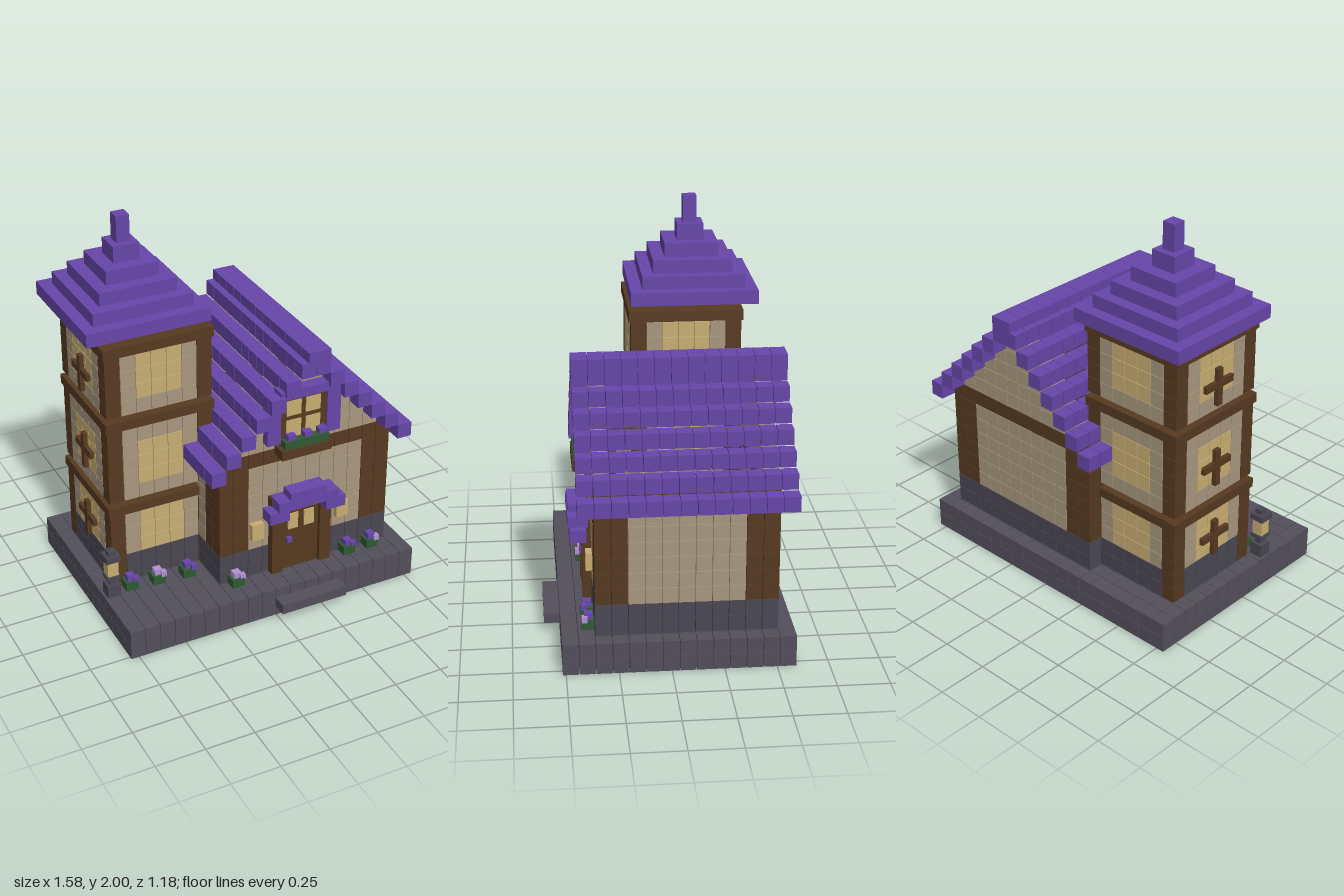
import * as THREE from 'three';
import { mergeGeometries } from 'three/addons/utils/BufferGeometryUtils.js';

const U = 0.0793;              // block pitch
const X0 = -10 * U, Z0 = -0.593; // grid corner
const COLORS = {
  stone: 0x534f5b, darkStone: 0x4a4753, wood: 0x563a20, plaster: 0xa8977f,
  litGlass: 0xc8ae72, purple: 0x6746a9, lilac: 0xb190d2, leaf: 0x2f5a33,
};

export function createModel() {
  const model = new THREE.Group();
  const mats = {};
  for (const [name, color] of Object.entries(COLORS)) {
    mats[name] = new THREE.MeshStandardMaterial({ color });
    mats[name].name = name;
  }

  // Block grid: one entry per cell, later parts replace earlier ones
  const cells = new Map();
  const put = (part, mat, i, j, k) => cells.set(`${i},${j},${k}`, { part, mat, i, j, k });

  // Plain box given by its limits
  const box = (name, mat, x0, x1, y0, y1, z0, z1, parent = model) => {
    const m = new THREE.Mesh(new THREE.BoxGeometry(x1 - x0, y1 - y0, z1 - z0), mats[mat]);
    m.position.set((x0 + x1) / 2, (y0 + y1) / 2, (z0 + z1) / 2);
    m.name = name;
    parent.add(m);
    return m;
  };
  const group = (name) => {
    const g = new THREE.Group();
    g.name = name;
    model.add(g);
    return g;
  };

  // Base: ring below, full floor above
  for (let i = 0; i < 20; i++) for (let k = 0; k < 14; k++) {
    put('base', 'stone', i, 1, k);
    if (i === 0 || i === 19 || k === 0 || k === 13) put('base', 'stone', i, 0, k);
  }
  box('frontStep', 'stone', -0.005, 0.357, 0.055, 0.107, 0.51, 0.593);

  // House walls: stone foot, plaster, wooden corners and top beam
  for (let j = 2; j <= 10; j++) for (let i = 7; i <= 18; i++) for (let k = 1; k <= 11; k++) {
    if (i > 7 && i < 18 && k > 1 && k < 11) continue;
    const corner = (i < 9 || i > 16) && (k < 3 || k > 9);
    const mat = j < 4 ? 'darkStone' : corner || j === 10 ? 'wood' : 'plaster';
    put('houseWalls', mat, i, j, k);
  }
  // Gables
  for (let s = 1; s <= 5; s++) for (let i = 7 + s; i <= 18 - s; i++)
    for (const k of [1, 11]) put('gable', 'plaster', i, 10 + s, k);

  // Stepped house roof
  for (let s = 0; s <= 6; s++) for (let k = 0; k <= 12; k++)
    for (const i of [6 + s, 19 - s]) put('houseRoof', 'purple', i, 10 + s, k);
  for (let k = 0; k <= 12; k++) {
    const z = Z0 + k * U;
    box('roofRidge', 'purple', 0.198, 0.316, 1.325, 1.4, z + 0.001, z + U - 0.001);
  }

  // Tower: three storeys [first layer, last layer, window first, window last]
  for (const [a, b, w0, w1] of [[2, 6, 4, 6], [8, 12, 9, 11], [14, 17, 15, 17]]) {
    for (let j = a; j <= b; j++) for (let i = 1; i <= 7; i++) for (let k = 2; k <= 8; k++) {
      const ex = i === 1 || i === 7, ez = k === 2 || k === 8;
      if (!ex && !ez) continue;
      const along = ez ? i - 4 : k - 5;
      const lit = j >= w0 && j <= w1 && Math.abs(along) <= 1;
      const mat = ex && ez ? 'wood' : j < 4 ? 'darkStone' : lit ? 'litGlass' : 'plaster';
      put('towerWalls', mat, i, j, k);
    }
  }
  for (const [y0, y1] of [[0.562, 0.61], [1.037, 1.087], [1.432, 1.485]])
    box('towerBand', 'wood', -0.722, -0.15, y0, y1, -0.442, 0.13);
  // Wooden crosses on the tower's outer side
  for (const y of [0.41, 0.805, 1.238]) {
    box('windowCrossUpright', 'wood', -0.735, -0.712, y - 0.097, y + 0.097, -0.172, -0.138);
    box('windowCrossBar', 'wood', -0.733, -0.712, y - 0.005, y + 0.03, -0.25, -0.06);
  }
  // Tower roof tiers
  const tiers = [[0.318, 1.512, 1.58], [0.257, 1.58, 1.645], [0.199, 1.645, 1.712],
    [0.135, 1.712, 1.782], [0.067, 1.782, 1.865], [0.034, 1.865, 2.0]];
  tiers.forEach(([r, y0, y1], n) =>
    box(n < 5 ? 'towerRoofTier' : 'towerFinial', 'purple',
      -0.475 - r, -0.475 + r, y0, y1, -0.2 - r, -0.2 + r));

  // Merge the blocks by part and colour
  const sets = new Map();
  for (const c of cells.values()) {
    const key = `${c.part}|${c.mat}`;
    const g = new THREE.BoxGeometry(U * 0.965, U * 0.965, U * 0.965);
    g.translate(X0 + (c.i + 0.5) * U, (c.j + 0.5) * U, Z0 + (c.k + 0.5) * U);
    if (!sets.has(key)) sets.set(key, []);
    sets.get(key).push(g);
  }
  for (const [key, list] of sets) {
    const [part, mat] = key.split('|');
    const m = new THREE.Mesh(mergeGeometries(list), mats[mat]);
    m.name = `${part} ${mat}`;
    model.add(m);
  }

  // Door with frame, panes, knob and canopy
  const cx = 0.2;
  const door = group('door');
  box('doorLeaf', 'wood', 0.1, 0.3, 0.165, 0.55, 0.35, 0.385, door);
  box('doorLintel', 'wood', 0.03, 0.365, 0.55, 0.61, 0.35, 0.4, door);
  for (const s of [-1, 1]) {
    const mid = (name, mat, d, w, y0, y1, z0, z1) =>
      box(name, mat, cx + s * d - w / 2, cx + s * d + w / 2, y0, y1, z0, z1, door);
    mid('doorPost', 'wood', 0.135, 0.063, 0.16, 0.56, 0.35, 0.4);
    mid('doorPane', 'litGlass', 0.045, 0.056, 0.4, 0.49, 0.384, 0.392);
    mid('canopyWing', 'purple', 0.157, 0.108, 0.505, 0.567, 0.38, 0.46);
    mid('wallLamp', 'litGlass', 0.239, 0.066, 0.385, 0.475, 0.355, 0.388);
  }
  box('doorKnob', 'purple', 0.118, 0.145, 0.328, 0.355, 0.38, 0.405, door);
  box('canopyMiddle', 'purple', 0.035, 0.367, 0.565, 0.62, 0.37, 0.468, door);
  box('canopyTop', 'purple', 0.1, 0.3, 0.62, 0.66, 0.385, 0.465, door);

  // Gable window with shutters and flower box
  const win = group('gableWindow');
  box('windowFrame', 'wood', 0.07, 0.327, 0.92, 1.165, 0.35, 0.39, win);
  for (const [x0, x1] of [[0.105, 0.185], [0.21, 0.29]])
    for (const [y0, y1] of [[0.94, 1.035], [1.06, 1.14]])
      box('windowPane', 'litGlass', x0, x1, y0, y1, 0.388, 0.395, win);
  box('shutter', 'purple', 0, 0.072, 0.92, 1.18, 0.35, 0.4, win);
  box('shutter', 'purple', 0.325, 0.4, 0.92, 1.18, 0.35, 0.4, win);
  box('windowHood', 'purple', 0.06, 0.335, 1.163, 1.21, 0.35, 0.42, win);
  box('windowLedge', 'wood', 0.06, 0.332, 0.845, 0.897, 0.35, 0.44, win);
  box('flowerBox', 'leaf', 0.08, 0.32, 0.897, 0.94, 0.36, 0.435, win);
  for (const x of [0.12, 0.21, 0.29])
    box('boxFlower', 'purple', x - 0.022, x + 0.022, 0.935, 0.968, 0.39, 0.428, win);

  // Flower tufts on the base
  const tufts = [[-0.642, 0.17, 'purple', 'purple'], [-0.5, 0.185, 'lilac', 'lilac'],
    [-0.342, 0.2, 'purple', 'purple'], [-0.16, 0.385, 'lilac', 'lilac'],
    [0.475, 0.385, 'purple', 'purple'], [0.61, 0.385, 'purple', 'lilac']];
  for (const [x, z, a, b] of tufts) {
    const g = group('flowerTuft');
    box('leaves', 'leaf', x - 0.033, x + 0.033, 0.157, 0.205, z - 0.033, z + 0.033, g);
    box('bloom', a, x - 0.02, x + 0.02, 0.2, 0.235, z - 0.02, z + 0.02, g);
    box('smallBloom', b, x + 0.01, x + 0.038, 0.195, 0.225, z + 0.005, z + 0.033, g);
  }

  // Lantern on a stone foot: [mesh name, colour, half width, bottom, top]
  const lantern = group('lantern');
  for (const [name, mat, r, y0, y1] of [
    ['lanternFoot', 'darkStone', 0.034, 0.157, 0.225], ['lanternNeck', 'darkStone', 0.018, 0.225, 0.258],
    ['lanternPlate', 'darkStone', 0.034, 0.258, 0.278], ['lanternGlass', 'litGlass', 0.028, 0.278, 0.362],
    ['lanternRoof', 'darkStone', 0.038, 0.362, 0.395], ['lanternCap', 'darkStone', 0.02, 0.395, 0.418]])
    box(name, mat, -0.744 - r, -0.744 + r, y0, y1, 0.18 - r, 0.18 + r, lantern);

  return model;
}
